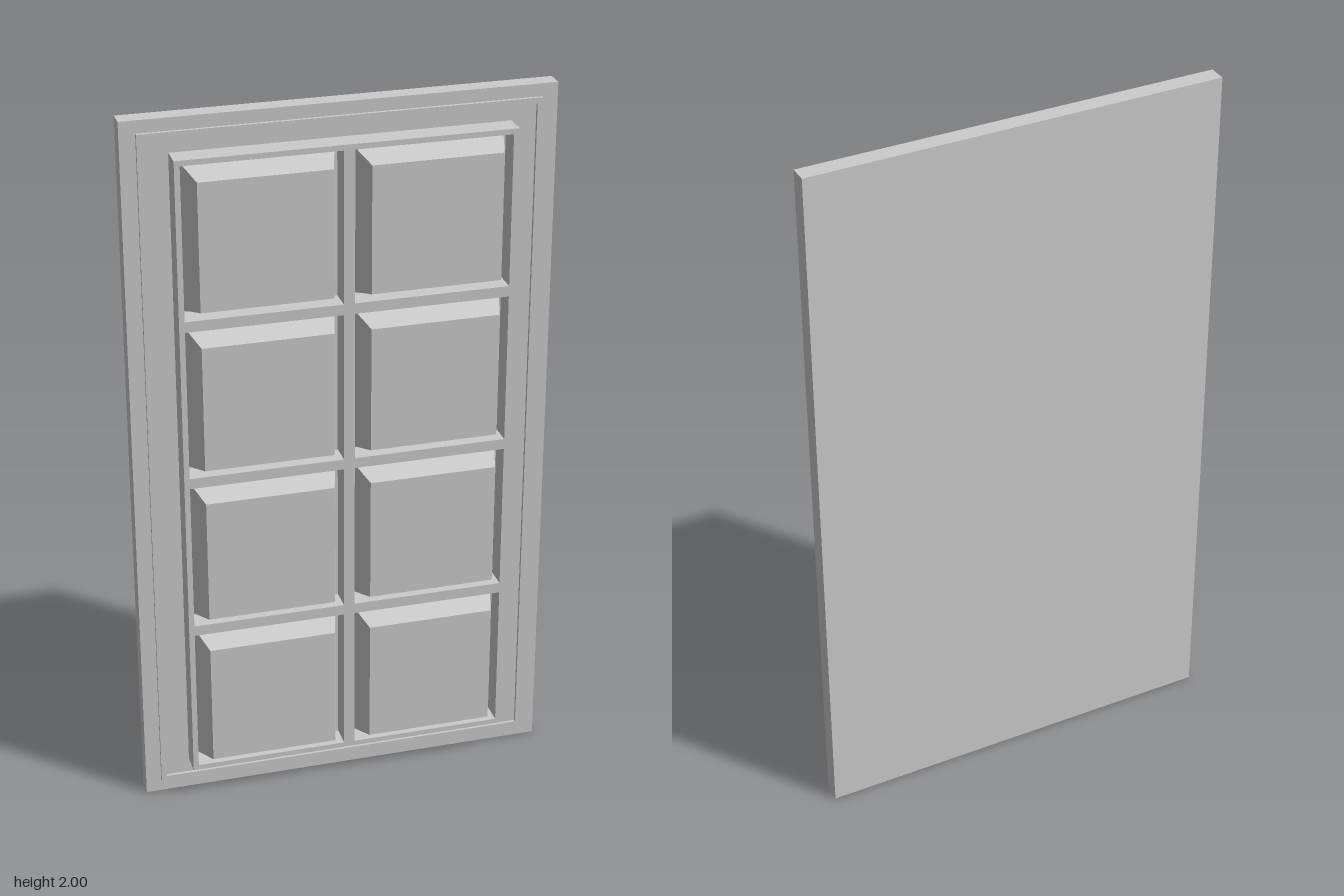
import * as THREE from 'three';

const COLS = 2, ROWS = 4;
const CELL_W = 0.455, CELL_H = 0.4535, WALL = 0.015;
const MID_Y = 1.0;
const BACK = -0.074, FLOOR = -0.024, RIM = -0.015, GRID = 0.04, FRONT = 0.073;

const material = new THREE.MeshStandardMaterial({ color: 0xcccccc, flatShading: true });

function rectangle(path, cx, cy, w, h) {
  path.moveTo(cx - w / 2, cy - h / 2);
  path.lineTo(cx + w / 2, cy - h / 2);
  path.lineTo(cx + w / 2, cy + h / 2);
  path.lineTo(cx - w / 2, cy + h / 2);
  path.closePath();
  return path;
}

// Upright plate with rectangular openings, from z0 to z1
function frame(w, h, openings, z0, z1) {
  const shape = rectangle(new THREE.Shape(), 0, 0, w, h);
  for (const o of openings) shape.holes.push(rectangle(new THREE.Path(), ...o));
  return new THREE.ExtrudeGeometry(shape, { depth: z1 - z0, bevelEnabled: false }).translate(0, MID_Y, z0);
}

// Block whose front face is smaller than its back face
function taperedBlock(base, top, z0, z1) {
  const geometry = new THREE.BoxGeometry(base, base, z1 - z0);
  const p = geometry.attributes.position;
  for (let i = 0; i < p.count; i++) {
    if (p.getZ(i) > 0) p.setXY(i, p.getX(i) * top / base, p.getY(i) * top / base);
  }
  geometry.translate(0, 0, (z0 + z1) / 2);
  geometry.computeVertexNormals();
  return geometry;
}

export function createModel() {
  const model = new THREE.Group();
  model.name = 'segmentedBar';
  const add = (name, geometry) => {
    const mesh = new THREE.Mesh(geometry, material);
    mesh.name = name;
    model.add(mesh);
    return mesh;
  };

  // Backing slab
  add('baseSlab', new THREE.BoxGeometry(1.16, 2, FLOOR - BACK).translate(0, MID_Y, (FLOOR + BACK) / 2));

  // Thin raised rim on the slab
  add('borderRim', frame(1.074, 1.93, [[0, 0, 1.044, 1.9]], FLOOR, RIM));

  // Centres of the segments
  const centres = [];
  for (let r = 0; r < ROWS; r++) {
    for (let c = 0; c < COLS; c++) {
      centres.push([(c - (COLS - 1) / 2) * CELL_W, (r - (ROWS - 1) / 2) * CELL_H]);
    }
  }

  // Grid of walls around the segments
  const wells = centres.map(([x, y]) => [x, y, CELL_W - 2 * WALL, CELL_H - 2 * WALL]);
  add('dividerGrid', frame(COLS * CELL_W, ROWS * CELL_H, wells, FLOOR, GRID));

  // Tapered segments standing in the wells
  const segment = taperedBlock(0.41, 0.354, FLOOR, FRONT);
  centres.forEach(([x, y], i) => {
    add(`segment${i + 1}`, segment).position.set(x, MID_Y + y, 0);
  });

  return model;
}
